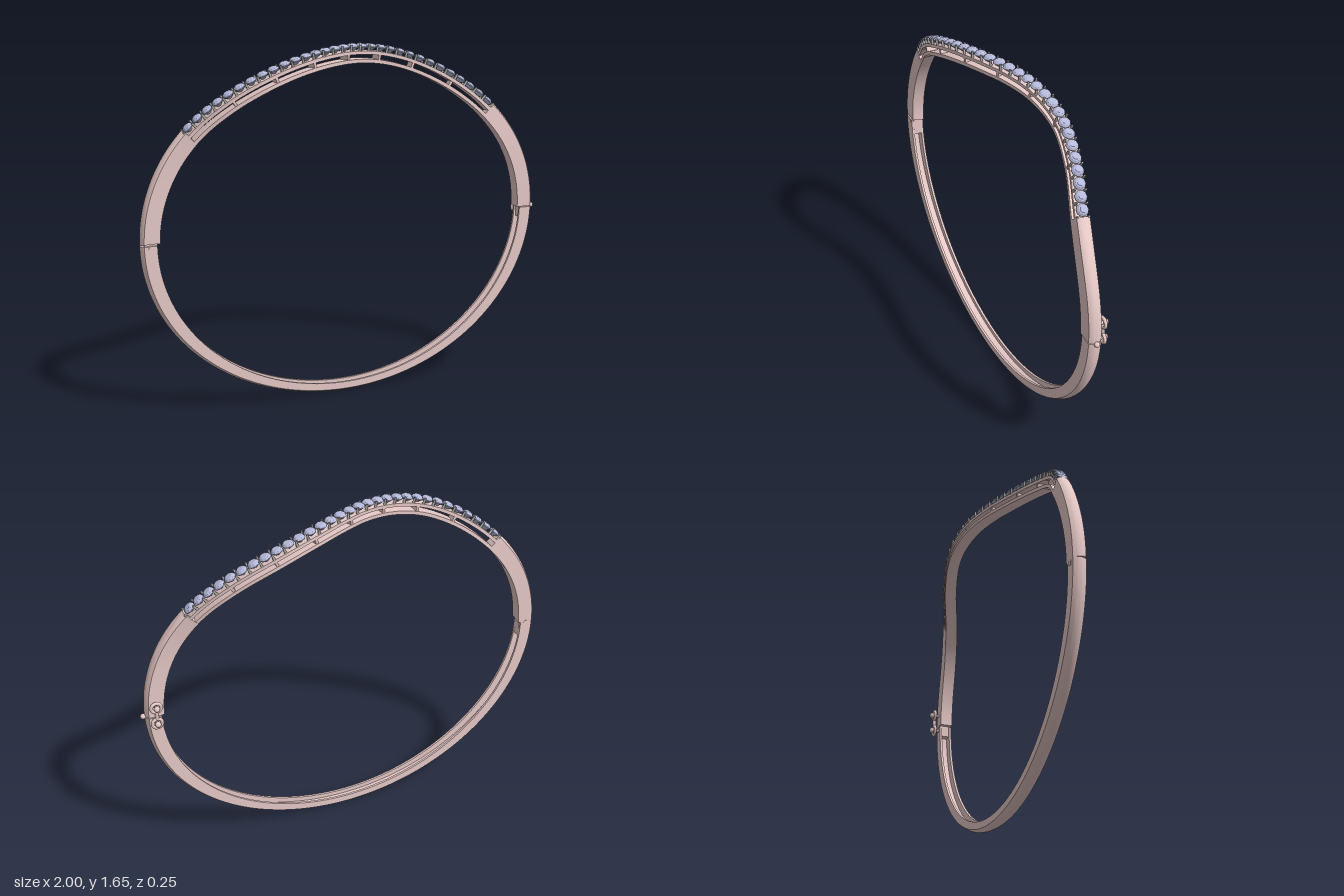
import * as THREE from 'three';
import { toCreasedNormals } from 'three/addons/utils/BufferGeometryUtils.js';

const CX = -0.01, CY = 0.82, A = 0.99, B = 0.822;
const END = 0.65;           // angle where the shoulders meet the stone row
const DEPTH = 0.085;        // radial depth of the upper half

const rose = new THREE.MeshStandardMaterial({ color: 0xe6c9c7 });
const setting = new THREE.MeshStandardMaterial({ color: 0xa9a9a6 });
const gem = new THREE.MeshStandardMaterial({ color: 0xb6badb, flatShading: true });

// sideways wave of the upper half, as z over x
const wave = new THREE.CubicInterpolant(
  [-1.1, -0.92, -0.78, -0.63, -0.45, -0.25, -0.07, 0.02, 0.2, 0.4, 0.6, 0.78, 0.92, 1.1],
  [0.02, 0.021, 0.036, 0.072, 0.092, 0.068, 0.017, -0.018, -0.076, -0.1, -0.068, -0.012, 0.017, 0.02], 1);

function pathPoint(t) {
  const x = CX + A * Math.cos(t), s = Math.sin(t);
  return new THREE.Vector3(x, CY + B * s, s > 0 ? wave.evaluate(x)[0] : 0.02);
}

// position and axes at angle t: tangent, outward normal, sideways
function frame(t) {
  const p = pathPoint(t);
  const T = pathPoint(t + 0.002).sub(pathPoint(t - 0.002)).normalize();
  const N = new THREE.Vector3(Math.cos(t) / A, Math.sin(t) / B, 0);
  N.addScaledVector(T, -N.dot(T)).normalize();
  return { p, T, N, S: new THREE.Vector3().crossVectors(N, T) };
}

const place = (f, side, out) => f.p.clone().addScaledVector(f.S, side).addScaledVector(f.N, out);

// sweep a counterclockwise [side, out] section along the bangle
function sweep(section, t0, t1, n) {
  const pos = [], idx = [];
  let m = 0;
  for (let i = 0; i <= n; i++) {
    const t = t0 + (t1 - t0) * i / n, f = frame(t), s = section(t);
    m = s.length;
    s.forEach(([a, b]) => pos.push(...place(f, a, b).toArray()));
  }
  for (let i = 0; i < n; i++) for (let j = 0; j < m; j++) {
    const a = i * m + j, b = i * m + (j + 1) % m;
    idx.push(a, b, a + m, b, b + m, a + m);
  }
  const flat = section(t0).map(([a, b]) => new THREE.Vector2(a, b));
  for (const [a, b, c] of THREE.ShapeUtils.triangulateShape(flat, [])) {
    const k = n * m;
    idx.push(a, c, b, k + a, k + b, k + c);
  }
  const g = new THREE.BufferGeometry();
  g.setAttribute('position', new THREE.Float32BufferAttribute(pos, 3));
  g.setIndex(idx);
  return toCreasedNormals(g, 0.7);
}

// band with a domed outer face
function domed(w, out, inn, dome) {
  const s = [[-w, inn], [w, inn]];
  for (let i = 0; i <= 8; i++) {
    const u = 1 - i / 4;
    s.push([w * u, out - dome * u * u]);
  }
  return s;
}

// domed band, open on its inner side
function channel(t) {
  const d = 0.045 + 0.027 * Math.cos(t) ** 2, w = 0.03, k = 0.011;
  const s = domed(w, 0, -d, 0.012).slice(1);
  return [...s, [-w, -d], [-w + k, -d], [-w + k, -0.024], [w - k, -0.024], [w - k, -d]];
}

export function createModel() {
  const root = new THREE.Group();
  const add = (name, geo, mat = rose, parent = root) => {
    const mesh = new THREE.Mesh(geo, mat);
    mesh.name = name;
    parent.add(mesh);
    return mesh;
  };
  // stand a mesh on the path, its y pointing outward
  const seat = (mesh, f, side, out) => {
    mesh.quaternion.setFromRotationMatrix(new THREE.Matrix4().makeBasis(f.T, f.N, new THREE.Vector3().crossVectors(f.T, f.N)));
    mesh.position.copy(place(f, side, out));
    return mesh;
  };

  // lower half and the two solid shoulders
  add('lowerHalf', sweep(channel, Math.PI + 0.004, 2 * Math.PI - 0.024, 96));
  const shoulder = () => domed(0.03, 0, -DEPTH, 0.012);
  add('leftShoulder', sweep(shoulder, -0.019, END, 28));
  add('rightShoulder', sweep(shoulder, Math.PI - END, Math.PI, 28));

  // stone rail and inner rail with an open gallery between
  const box = (w, lo, hi) => () => [[-w, lo], [w, lo], [w, hi], [-w, hi]];
  add('stoneRail', sweep(box(0.028, -0.046, -0.03), END - 0.02, Math.PI - END + 0.02, 80));
  add('innerRail', sweep(box(0.029, -DEPTH, -0.068), END - 0.02, Math.PI - END + 0.02, 80));
  const struts = new THREE.Group();
  struts.name = 'galleryStruts';
  root.add(struts);
  for (const x of [-0.6, -0.4, -0.2, 0, 0.2, 0.4, 0.6]) {
    const f = frame(Math.acos((x - CX) / A));
    seat(add('strut', new THREE.BoxGeometry(0.012, 0.034, 0.05), rose, struts), f, 0, -0.058);
  }

  // angles spaced evenly along the curved row
  const fine = 600, span = Math.PI - 2 * END, lens = [0];
  for (let i = 1; i <= fine; i++)
    lens.push(lens[i - 1] + pathPoint(END + span * i / fine).distanceTo(pathPoint(END + span * (i - 1) / fine)));
  const angleAt = (u) => END + span * lens.findIndex((l) => l >= u * lens[fine] - 1e-9) / fine;

  // cut stones with prongs between them
  const stones = new THREE.Group();
  stones.name = 'stoneRow';
  root.add(stones);
  const COUNT = 31;
  const stoneGeo = new THREE.LatheGeometry(
    [[0, -0.03], [0.028, -0.008], [0.028, -0.004], [0.022, 0.004], [0.015, 0.008], [0, 0.008]]
      .map(([x, y]) => new THREE.Vector2(x, y)), 10);
  const prongGeo = new THREE.CylinderGeometry(0.005, 0.007, 0.032, 6);
  for (let i = 0; i <= COUNT; i++) {
    if (i < COUNT) seat(add('stone', stoneGeo, gem, stones), frame(angleAt((i + 0.5) / COUNT)), 0, -0.006);
    const f = frame(angleAt(i / COUNT));
    for (const s of [-1, 1]) seat(add('prong', prongGeo, setting, stones), f, s * 0.023, -0.018);
  }

  // hinge on the right
  const hinge = add('hingeBarrel', new THREE.CylinderGeometry(0.014, 0.014, 0.064, 16));
  hinge.rotation.x = Math.PI / 2;
  hinge.position.set(-0.955, 0.805, 0.02);
  add('hingeBlock', new THREE.BoxGeometry(0.06, 0.16, 0.04)).position.set(-0.955, 0.81, 0.02);

  // clasp on the left: tongue, push button and figure-eight safety catch
  add('claspTongue', new THREE.BoxGeometry(0.05, 0.1, 0.036)).position.set(0.94, 0.8, 0.02);
  add('pushButton', new THREE.SphereGeometry(0.013, 16, 10)).position.set(0.987, 0.802, 0.02);
  const safety = new THREE.Group();
  safety.name = 'safetyCatch';
  root.add(safety);
  for (const y of [0.785, 0.868]) {
    add('catchRing', new THREE.TorusGeometry(0.023, 0.008, 10, 24), rose, safety).position.set(0.938, y, -0.033);
    const post = add('catchPost', new THREE.CylinderGeometry(0.008, 0.008, 0.05, 12), rose, safety);
    post.rotation.x = Math.PI / 2;
    post.position.set(0.938, y, -0.022);
    add('catchBall', new THREE.SphereGeometry(0.014, 14, 10), rose, safety).position.set(0.938, y, -0.044);
  }
  add('catchBridge', new THREE.CylinderGeometry(0.009, 0.009, 0.04, 10), rose, safety).position.set(0.938, 0.827, -0.033);

  return root;
}
